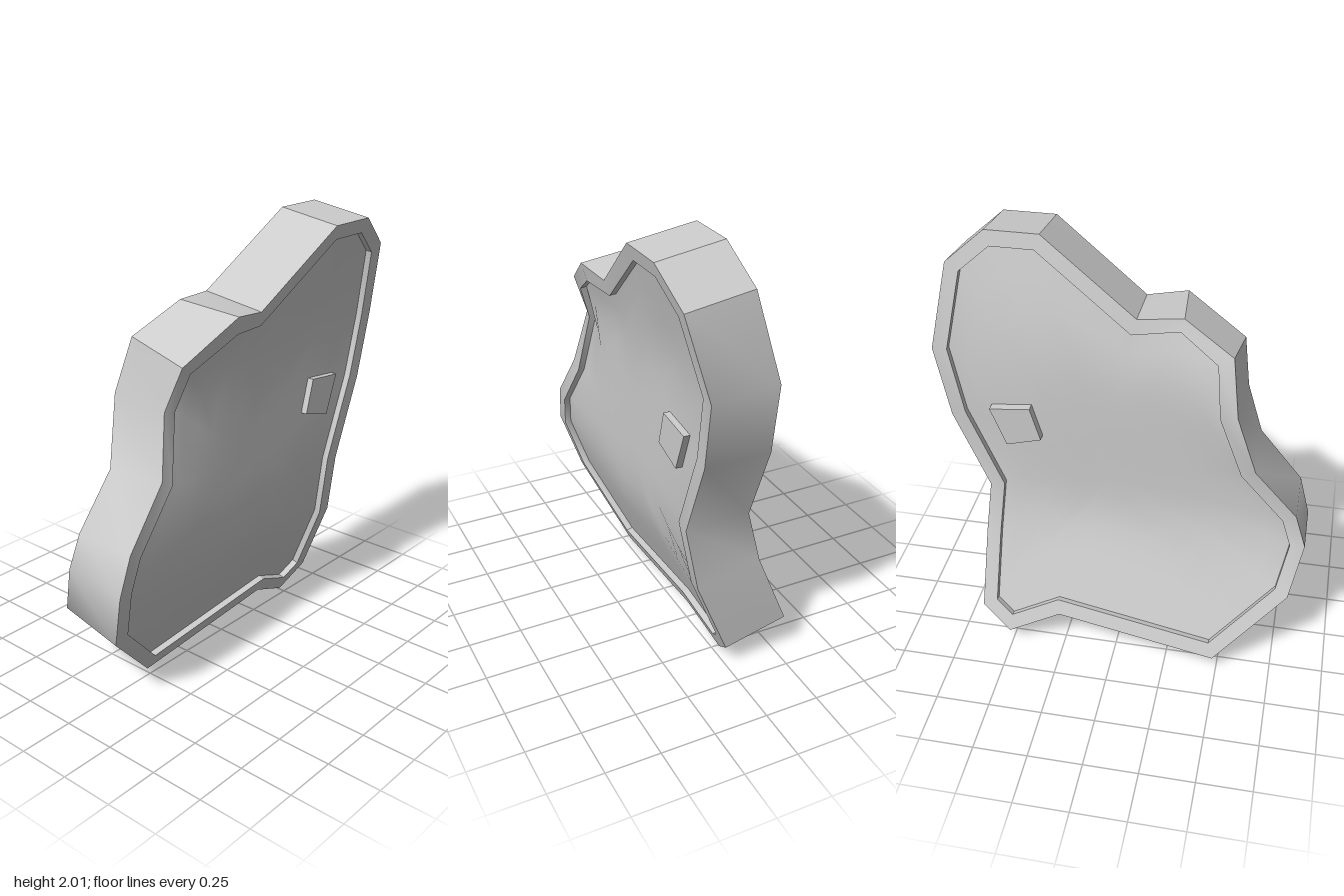
import * as THREE from 'three';
import { toCreasedNormals } from 'three/addons/utils/BufferGeometryUtils.js';

const HALF = 0.15;      // half of the slab thickness
const RECESS = 0.03;    // depth of the sunken faces
const RIM = 0.066;      // width of the raised border
const CENTRE = [0.05, 0.88];

// outline of the slab, counter-clockwise seen from the front
const OUTLINE = [
  [-0.48, 0.032], [0.27, 0.14], [0.51, 0.032], [0.647, 0.14], [0.645, 0.5],
  [0.625, 0.77], [0.78, 1.15], [0.845, 1.47], [0.78, 1.84], [0.61, 1.985],
  [0.37, 1.985], [-0.05, 1.675], [-0.24, 1.69], [-0.485, 1.545], [-0.52, 1.32],
  [-0.6, 1.03], [-0.8, 0.79], [-0.852, 0.62], [-0.8, 0.36],
];

const soft = (d) => 0.06 * Math.log(1 + Math.exp(d / 0.06));
const bump = (x, y, cx, cy, r) => Math.exp(-((x - cx) ** 2 + (y - cy) ** 2) / (r * r));

// bent middle surface: top leans forward, bottom leans back, one corner warped
function bend(x, y) {
  return 0.055 + 0.26 * soft(y - 1.47) - 0.41 * soft(0.62 - y)
    - 0.06 * bump(x, y, -0.55, 1.3, 0.2) + 0.035 * bump(x, y, -0.3, 1.65, 0.15);
}

// point at height h above the middle surface, leaning with its slope
function lift([x, y], h) {
  const e = 0.02, k = 0.58;
  const gx = (bend(x + e, y) - bend(x - e, y)) / (2 * e);
  const gy = (bend(x, y + e) - bend(x, y - e)) / (2 * e);
  return [x - k * gx * h, y - k * gy * h, bend(x, y) + h];
}

// inward mitred offset of a counter-clockwise contour
function inset(points, d) {
  const n = points.length;
  const normal = (a, b) => new THREE.Vector2(a[1] - b[1], b[0] - a[0]).normalize();
  return points.map((p, i) => {
    const n1 = normal(points[(i + n - 1) % n], p);
    const n2 = normal(p, points[(i + 1) % n]);
    const s = d / (1 + n1.dot(n2));
    return [p[0] + (n1.x + n2.x) * s, p[1] + (n1.y + n2.y) * s];
  });
}

const scaled = (points, t) => points.map(([x, y]) => [
  CENTRE[0] + (x - CENTRE[0]) * t, CENTRE[1] + (y - CENTRE[1]) * t,
]);

// joins the sections from the back centre, round the wall, to the front centre
function slabGeometry() {
  const inner = inset(OUTLINE, RIM);
  const rings = [0.15, 0.3, 0.45, 0.6, 0.75, 0.88, 1];
  const floor = HALF - RECESS;
  const sections = [
    ...rings.map((t) => [scaled(inner, t), -floor]),
    [inner, -HALF], [OUTLINE, -HALF], [OUTLINE, HALF], [inner, HALF],
    ...rings.map((t) => [scaled(inner, t), floor]).reverse(),
  ];
  const n = OUTLINE.length;
  const positions = [];
  const index = [];
  for (const [points, h] of sections) {
    for (const p of points) positions.push(...lift(p, h));
  }
  for (let k = 0; k < sections.length - 1; k++) {
    for (let i = 0; i < n; i++) {
      const j = (i + 1) % n;
      const a = k * n + i, b = k * n + j, c = b + n, d = a + n;
      index.push(a, b, c, a, c, d);
    }
  }
  // centre fans of both faces
  const last = (sections.length - 1) * n;
  const back = sections.length * n;
  positions.push(...lift(CENTRE, -floor), ...lift(CENTRE, floor));
  for (let i = 0; i < n; i++) {
    const j = (i + 1) % n;
    index.push(back, j, i, back + 1, last + i, last + j);
  }
  const geometry = new THREE.BufferGeometry();
  geometry.setAttribute('position', new THREE.Float32BufferAttribute(positions, 3));
  geometry.setIndex(index);
  return toCreasedNormals(geometry, 0.6);
}

export function createModel() {
  const group = new THREE.Group();
  group.name = 'bentPlate';
  const material = new THREE.MeshStandardMaterial({ color: 0xcccccc });

  const slab = new THREE.Mesh(slabGeometry(), material);
  slab.name = 'rimmedSlab';
  group.add(slab);

  // small skewed block passing through the slab
  const corners = [[0.37, 1.065], [0.53, 1.02], [0.6, 1.205], [0.415, 1.225]];
  const shape = new THREE.Shape(corners.map(([x, y]) => new THREE.Vector2(x, y)));
  const block = new THREE.Mesh(
    new THREE.ExtrudeGeometry(shape, { depth: 0.31, bevelEnabled: false }), material);
  block.position.z = -0.105;
  block.name = 'squareBlock';
  group.add(block);

  return group;
}
